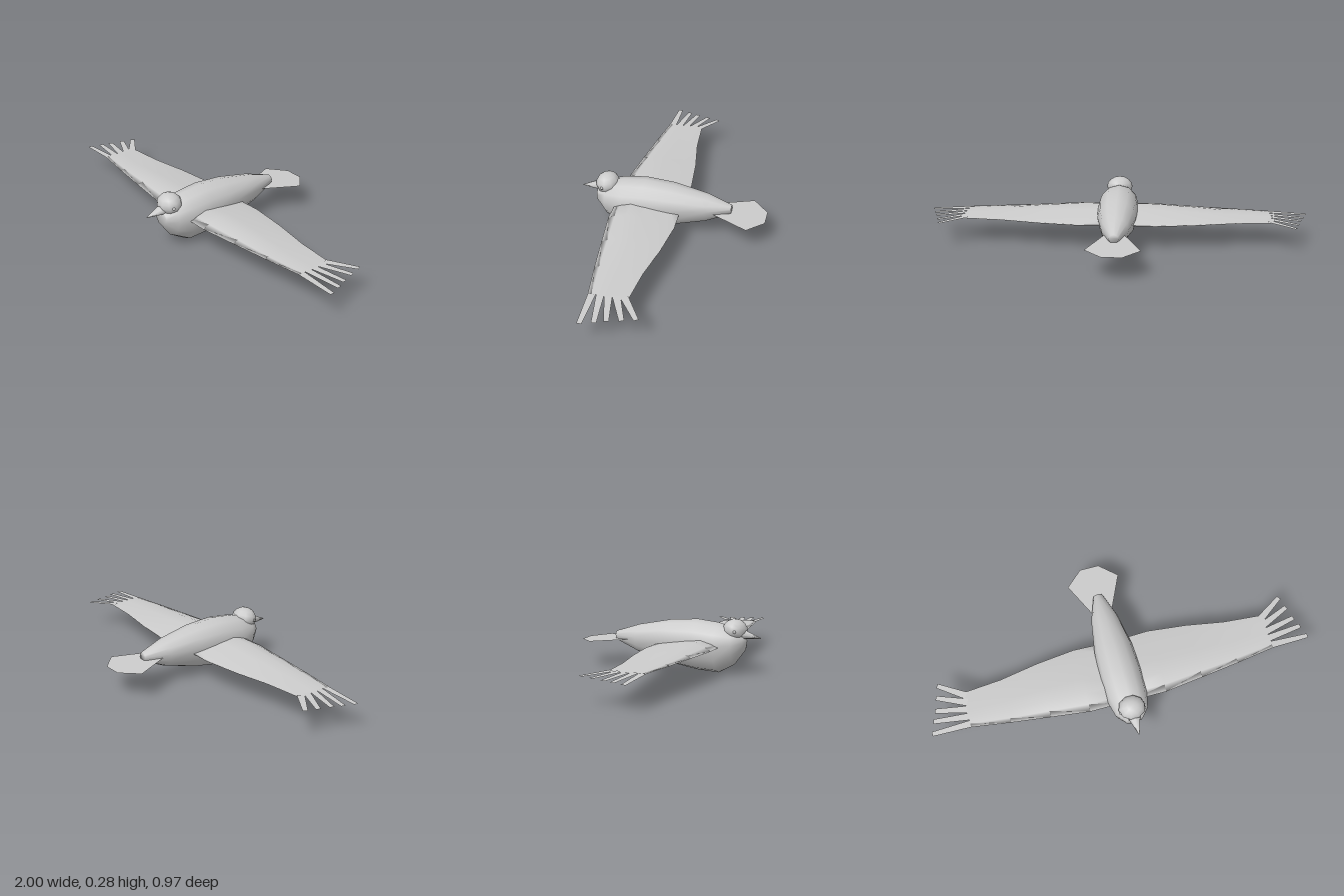
import * as THREE from 'three';

const grey = new THREE.MeshStandardMaterial({ color: 0xcccccc });
const thin = new THREE.MeshStandardMaterial({ color: 0xcccccc, side: THREE.DoubleSide });

function part(name, geometry, material = grey) {
  const mesh = new THREE.Mesh(geometry, material);
  mesh.name = name;
  return mesh;
}

// Skin closed rings of [x, y, z] points, counter-clockwise seen from the last ring, and cap both ends.
function loft(rings) {
  const n = rings[0].length, last = (rings.length - 1) * n, index = [];
  for (let a = 0; a < last; a += n) {
    for (let j = 0; j < n; j++) {
      const p = a + j, q = a + (j + 1) % n;
      index.push(p, q, p + n, q, q + n, p + n);
    }
  }
  for (let j = 1; j < n - 1; j++) {
    index.push(0, j + 1, j, last, last + j, last + j + 1);
  }
  const g = new THREE.BufferGeometry();
  g.setAttribute('position', new THREE.Float32BufferAttribute(rings.flat(2), 3));
  g.setIndex(index);
  g.computeVertexNormals();
  return g;
}

// Flat sheet from [x, z] outline with a height rule y(x, z).
function sheet(outline, height) {
  const g = new THREE.ShapeGeometry(new THREE.Shape(outline.map(([x, z]) => new THREE.Vector2(x, -z))));
  g.rotateX(-Math.PI / 2);
  const p = g.attributes.position;
  for (let i = 0; i < p.count; i++) p.setY(i, height(p.getX(i), p.getZ(i)));
  g.computeVertexNormals();
  return g;
}

function makeBody() {
  // z, bottom, top, half width
  const stations = [
    [-0.305, 0.135, 0.183, 0.024], [-0.175, 0.079, 0.225, 0.07], [0, 0.033, 0.26, 0.1],
    [0.15, 0.008, 0.272, 0.108], [0.265, 0.001, 0.26, 0.105], [0.35, 0.05, 0.235, 0.085],
    [0.4, 0.118, 0.2, 0.045],
  ];
  const sides = 12;
  return loft(stations.map(([z, low, high, w]) => {
    const mid = low + (high - low) * 0.58;
    return Array.from({ length: sides }, (_, j) => {
      const a = j / sides * Math.PI * 2, s = Math.sin(a);
      return [w * Math.cos(a), mid + s * (s > 0 ? high - mid : mid - low), z];
    });
  }));
}

function makeWing() {
  // x, leading z, trailing z, thickness
  const stations = [
    [0, 0.293, -0.045, 0.034], [0.2, 0.293, -0.052, 0.033], [0.4, 0.268, -0.03, 0.023],
    [0.6, 0.242, 0.005, 0.009], [0.8, 0.212, 0.022, 0.003],
  ];
  // chord fraction and height fraction, from the trailing edge over the top to the leading edge and back below
  const section = [[1, 0], [0.78, 0.38], [0.5, 0.8], [0.27, 1], [0.1, 0.5], [0, 0], [0.5, 0], [1, -0.12]];
  return loft(stations.map(([x, lead, trail, t]) => section.map(([c, h]) =>
    [x, 0.146 + h * t - 0.004 * c, lead + (trail - lead) * c])));
}

// Separated flight feathers fanned from the wing tip
function makeFeathers() {
  const group = new THREE.Group();
  const tipZ = [0.192, 0.13, 0.078, 0.012, -0.05];
  tipZ.forEach((z, i) => {
    const root = new THREE.Vector2(0.79, 0.193 - i * 0.038);
    const tip = new THREE.Vector2(0.998 - i * 0.019, z);
    const side = tip.clone().sub(root).normalize();
    side.set(-side.y, side.x);
    const at = (p, w) => [p.x + side.x * w, p.y + side.y * w];
    const outline = [at(root, 0.019), at(tip, 0.012), at(tip, -0.012), at(root, -0.019)];
    group.add(part('flightFeather', sheet(outline, x => 0.146 - (x - 0.79) * 0.05), thin));
  });
  group.name = 'wingTipFeathers';
  return group;
}

export function createModel() {
  const model = new THREE.Group();
  model.name = 'bird';
  model.add(part('body', makeBody()));

  // Head and beak
  const head = part('head', new THREE.SphereGeometry(1, 10, 8));
  head.scale.set(0.069, 0.055, 0.062);
  head.position.set(0, 0.228, 0.35);
  head.rotation.x = 0.15;
  model.add(head);
  const beak = part('beak', new THREE.CylinderGeometry(0.06, 1, 0.1, 8).rotateX(Math.PI / 2).scale(0.034, 0.026, 1));
  beak.position.set(0, 0.2, 0.437);
  beak.rotation.x = 0.17;
  model.add(beak);

  // Mirrored eyes and wings
  const wing = makeWing();
  for (const s of [1, -1]) {
    const name = s > 0 ? 'left' : 'right';
    const eye = part(name + 'Eye', new THREE.SphereGeometry(0.008, 8, 6));
    eye.position.set(s * 0.062, 0.225, 0.366);
    const half = new THREE.Group();
    half.name = name + 'Wing';
    half.add(part('wingPanel', wing), makeFeathers());
    half.scale.x = s;
    model.add(eye, half);
  }

  // Tail fan
  const fan = [[-0.045, -0.2], [-0.138, -0.403], [-0.05, -0.486],
    [0.05, -0.486], [0.138, -0.403], [0.045, -0.2]];
  model.add(part('tail', sheet(fan, (x, z) => 0.149 + (z + 0.2) * 0.05), thin));
  return model;
}
